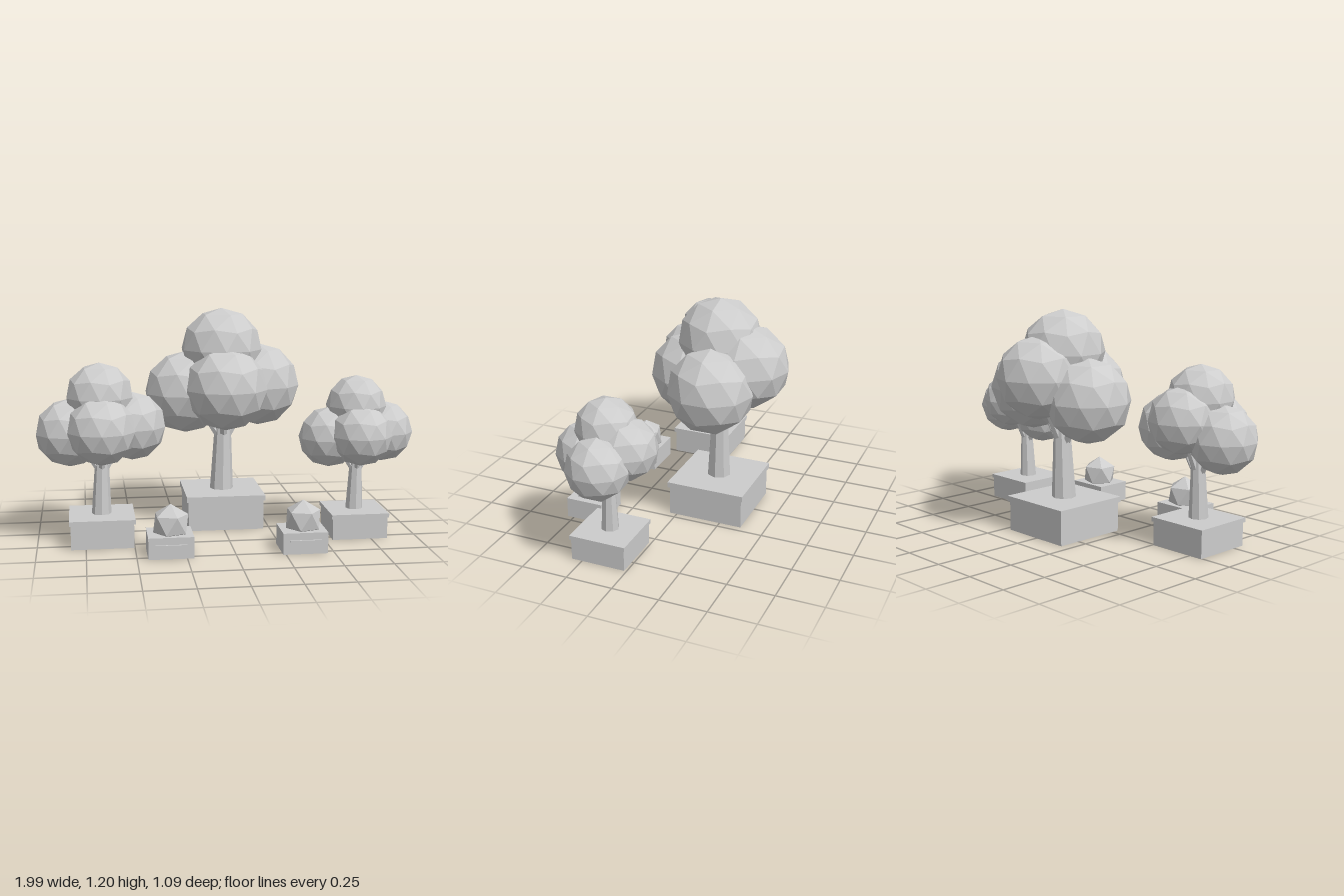
import * as THREE from 'three';

const grey = new THREE.MeshStandardMaterial({ color: 0xcccccc, flatShading: true });
grey.name = 'plain grey';

function add(parent, name, geometry, x = 0, y = 0, z = 0) {
  const mesh = new THREE.Mesh(geometry, grey);
  mesh.name = name;
  mesh.position.set(x, y, z);
  parent.add(mesh);
  return mesh;
}

// Faceted ball with one corner pointing straight up
function ball(radius, detail) {
  return new THREE.IcosahedronGeometry(radius, detail)
    .rotateZ(Math.PI / 2 - Math.atan((1 + Math.sqrt(5)) / 2))
    .rotateY(Math.PI);
}

// Tapered limb between two points
function limb(parent, name, from, to, r0, r1, sides) {
  const a = new THREE.Vector3(...from), b = new THREE.Vector3(...to);
  const dir = b.clone().sub(a);
  const mesh = add(parent, name, new THREE.CylinderGeometry(r1, r0, dir.length(), sides));
  mesh.position.copy(a).add(b).multiplyScalar(0.5);
  mesh.quaternion.setFromUnitVectors(new THREE.Vector3(0, 1, 0), dir.normalize());
}

// Foliage balls: name, x, y, z, radius
const FOLIAGE = [
  ['leftFoliage', 0.208, 0.768, -0.03, 0.228],
  ['rightFoliage', -0.2, 0.735, -0.01, 0.225],
  ['frontFoliage', 0.005, 0.77, 0.148, 0.227],
  ['backFoliage', 0.015, 0.85, -0.157, 0.222],
  ['topFoliage', 0, 0.972, 0, 0.223],
];

function pottedTree(name, x, z, scale) {
  const tree = new THREE.Group();
  tree.name = name;

  // Square planter with an overhanging lid
  add(tree, 'planter', new THREE.BoxGeometry(0.41, 0.16, 0.41), 0, 0.08, 0);
  add(tree, 'planterLid', new THREE.BoxGeometry(0.43, 0.03, 0.43), 0, 0.175, 0);

  // Slightly leaning trunk
  limb(tree, 'trunk', [0, 0.185, 0], [0.012, 0.7, -0.006], 0.065, 0.037, 8);

  // Foliage, with a branch reaching into each lower ball
  for (const [label, fx, fy, fz, r] of FOLIAGE) {
    add(tree, label, ball(r, 1), fx, fy, fz);
    if (label !== 'topFoliage') {
      limb(tree, 'branch', [0.008 + fx * 0.12, 0.49, fz * 0.12],
        [fx * 0.75, 0.7, fz * 0.75], 0.023, 0.016, 6);
    }
  }
  tree.position.set(x, 0, z);
  tree.scale.setScalar(scale);
  return tree;
}

function pottedBush(name, x, z) {
  const bush = new THREE.Group();
  bush.name = name;
  add(bush, 'pot', new THREE.BoxGeometry(0.23, 0.11, 0.205), 0, 0.055, 0);
  // Raised bar on the front of the pot
  add(bush, 'potBar', new THREE.BoxGeometry(0.16, 0.017, 0.02), 0, 0.065, 0.1025);
  add(bush, 'shrub', ball(0.1, 0), 0.005, 0.158, 0);
  bush.position.set(x, 0, z);
  return bush;
}

export function createModel() {
  const model = new THREE.Group();
  model.name = 'pottedTrees';
  model.add(
    pottedTree('middleTree', 0.01, -0.165, 1),
    pottedTree('rightTree', -0.665, 0.155, 0.79),
    pottedTree('leftTree', 0.69, 0.16, 0.717),
    pottedBush('rightBush', -0.33, 0.433),
    pottedBush('leftBush', 0.35, 0.433),
  );
  return model;
}
